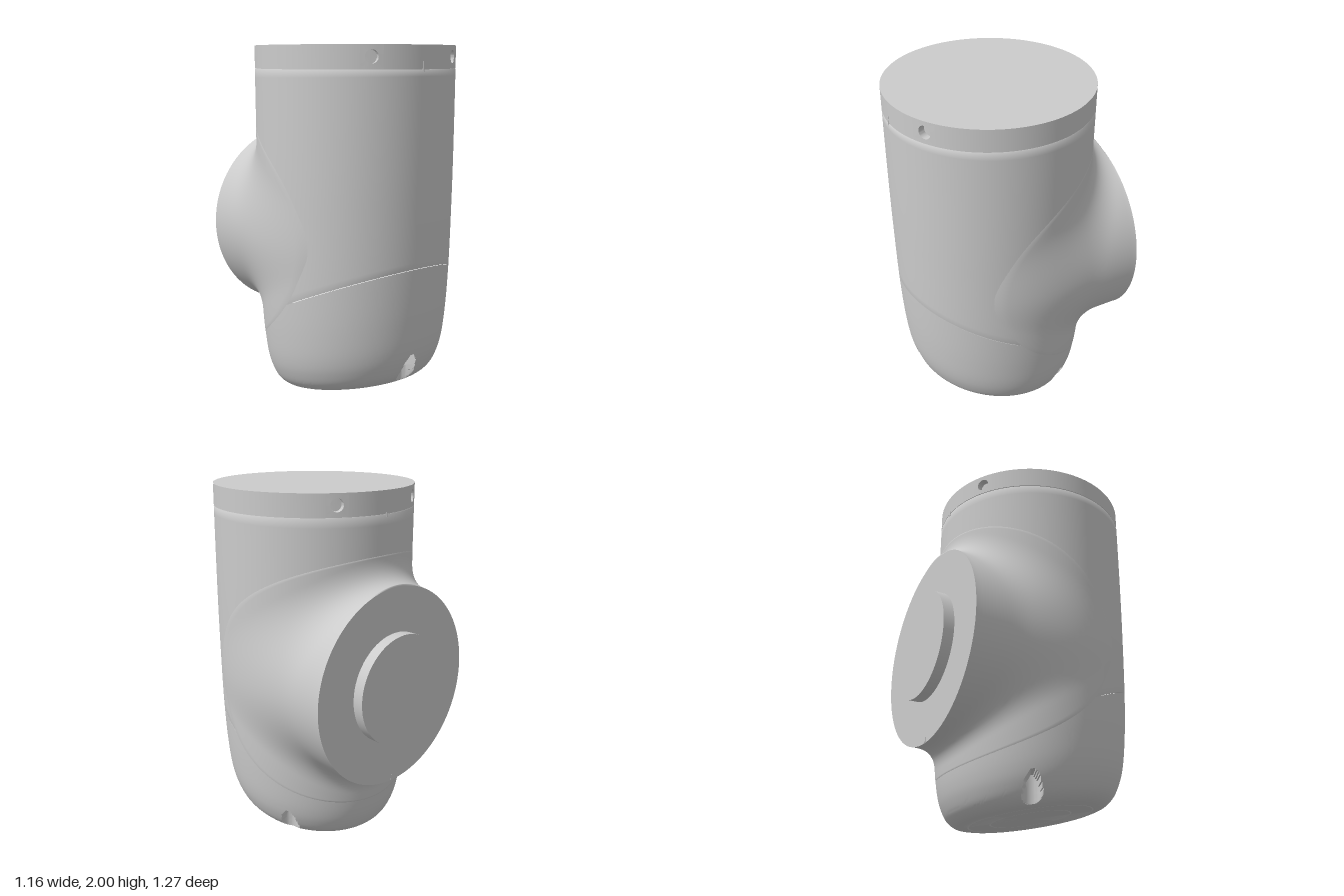
import * as THREE from 'three';
import { toCreasedNormals } from 'three/addons/utils/BufferGeometryUtils.js';

const CZ = 0.073;          // z of the vertical axis
const R = 0.56;            // radius of collar and flange
const FLANGE_Y = 0.95, FLANGE_Z = -0.575;
const BOTTOM = 0.065, TILT = 0.173; // base height on the axis and its slope
const { clamp, lerp, smoothstep, degToRad } = THREE.MathUtils;

const material = new THREE.MeshStandardMaterial({ color: 0xcccccc });

// Radius of the body against height over the tilted base
const profile = new THREE.CatmullRomCurve3([
  [0, 0.375], [0.013, 0.415], [0.05, 0.457], [0.12, 0.492], [0.2, 0.514],
  [0.35, 0.533], [0.6, 0.548], [1, 0.557], [1.3, 0.56], [2.2, 0.56],
].map(([w, r]) => new THREE.Vector3(w, r, 0))).getPoints(90);

function bodyRadius(w) {
  if (w <= 0) return profile[0].y;
  for (let i = 1; i < profile.length; i++) {
    const a = profile[i - 1], b = profile[i];
    if (w <= b.x) return lerp(a.y, b.y, (w - a.x) / (b.x - a.x));
  }
  return R;
}

// Closed loops of vertices joined into a skin; point(row, angle) gives a Vector3
function loft(rows, segments, point) {
  const pos = [], index = [];
  for (let i = 0; i < rows; i++) {
    for (let j = 0; j < segments; j++) {
      pos.push(...point(i, (j / segments) * Math.PI * 2).toArray());
      if (i === rows - 1) continue;
      const a = i * segments + j, b = i * segments + (j + 1) % segments;
      index.push(a, b, b + segments, a, b + segments, a + segments);
    }
  }
  const g = new THREE.BufferGeometry();
  g.setAttribute('position', new THREE.Float32BufferAttribute(pos, 3));
  g.setIndex(index);
  g.computeVertexNormals();
  return g;
}

// Point on the body skin, on a ring tilted by slope
function bodyPoint(theta, y0, slope, inset = 0) {
  let r = R;
  for (let k = 0; k < 6; k++) {
    const z = r * Math.cos(theta);
    r = bodyRadius(y0 + (slope - TILT) * z - BOTTOM);
  }
  r = notched(theta, r) - inset;
  const z = r * Math.cos(theta);
  return new THREE.Vector3(r * Math.sin(theta), y0 + slope * z, CZ + z);
}

// Three round screw pockets cut upward into the rounded lower edge
function notched(theta, r) {
  const third = (Math.PI * 2) / 3, rc = 0.457, rad = 0.05;
  const d = theta - Math.round(theta / third) * third;
  const h = rad * rad - (rc * Math.sin(d)) ** 2;
  if (h <= 0) return r;
  const enter = rc * Math.cos(d) - Math.sqrt(h), exit = rc * Math.cos(d) + Math.sqrt(h);
  return r > enter && r < exit ? enter : r;
}

// Distance field: vertical body smoothly merged with the horizontal joint
function field(p) {
  const dv = Math.hypot(p.x, p.z - CZ) - bodyRadius(p.y - BOTTOM - TILT * (p.z - CZ));
  const rh = 0.558 - 0.5 * Math.max(0, p.z + 0.25) ** 2;
  const dh = Math.hypot(p.x, p.y - FLANGE_Y) - rh;
  const k = lerp(0.1, 0.15, smoothstep(p.y, 0.5, 0.95));
  const h = Math.max(k - Math.abs(dv - dh), 0) / k;
  return Math.min(dv, dh) - h * h * k / 4;
}

function projectToField(p, offset) {
  const e = 0.002, g = new THREE.Vector3();
  for (let n = 0; n < 8; n++) {
    const f = field(p);
    for (const axis of ['x', 'y', 'z']) {
      const q = p.clone();
      q[axis] += e;
      g[axis] = (field(q) - f) / e;
    }
    p.addScaledVector(g, -(f - offset) / Math.max(g.lengthSq(), 0.2));
  }
  p.z = Math.max(p.z, FLANGE_Z);
  return p;
}

// Skin from the round flange rim out onto the body
function neckGeometry() {
  const rows = 28;
  return loft(rows, 160, (i, phi) => {
    const c = Math.cos(phi), s = Math.sin(phi);
    const rim = new THREE.Vector3(R * c, FLANGE_Y + R * s, FLANGE_Z);
    if (i === 0) return rim;
    const u = degToRad(115) * c;
    const land = new THREE.Vector3(R * Math.sin(u), FLANGE_Y + 0.72 * s, CZ - R * Math.cos(u));
    const t = (i / (rows - 1)) ** 1.2;
    return projectToField(rim.lerp(land, t), i === rows - 1 ? -0.004 : 0.001);
  });
}

// Lower cap: grooved tilted base, rounded edge and wall up to the sloping seam
function endCapGeometry() {
  const base = [0, 0.216, 0.22, 0.224, 0.336, 0.34, 0.344];
  const wall = 44;
  return toCreasedNormals(loft(base.length + wall + 1, 360, (i, theta) => {
    if (i < base.length) {
      const r = base[i], z = r * Math.cos(theta);
      const groove = i === 2 || i === 5 ? 0.004 : 0;
      return new THREE.Vector3(r * Math.sin(theta), BOTTOM + groove + TILT * z, CZ + z);
    }
    const n = Math.min(i - base.length, wall - 1);
    const w = 0.509 * (n / (wall - 1)) ** 1.6;
    const slope = TILT + 0.283 * smoothstep(w, 0.2, 0.509);
    return bodyPoint(theta, BOTTOM + w, slope, i === base.length + wall ? 0.006 : 0);
  }), 0.7);
}

// Upper shell from the sloping seam to the collar
function shellGeometry() {
  const rows = 32;
  return loft(rows, 128, (i, theta) => {
    const t = clamp((i - 1) / (rows - 3), 0, 1);
    const inset = i === 0 ? 0.006 : i === rows - 1 ? 0.02 : 0;
    return bodyPoint(theta, lerp(0.577, 1.876, t), 0.456 * (1 - t), inset);
  });
}

// Square patch of the collar with a blind screw hole
function screwHoleGeometry(angle) {
  const rings = [[0.06, 0], [0.035, 0], [0.035, 0.04], [0, 0.04]];
  return toCreasedNormals(loft(4, 32, (i, phi) => {
    const c = Math.cos(phi), s = Math.sin(phi);
    const k = rings[i][0] / (i === 0 ? Math.max(Math.abs(c), Math.abs(s)) : 1);
    const th = angle + (k * c) / R, r = R - rings[i][1];
    return new THREE.Vector3(r * Math.sin(th), 1.94 + k * s, CZ + r * Math.cos(th));
  }), 0.7);
}

export function createModel() {
  const model = new THREE.Group();
  model.name = 'jointHousing';
  const add = (name, geometry, x = 0, y = 0, z = 0, parent = model) => {
    const mesh = new THREE.Mesh(geometry, material);
    mesh.name = name;
    mesh.position.set(x, y, z);
    parent.add(mesh);
    return mesh;
  };

  add('upperShell', shellGeometry());
  add('endCap', endCapGeometry());
  add('flangeNeck', neckGeometry());

  // Flange face with raised centre boss and index mark
  add('flangeFace', new THREE.CircleGeometry(R, 160), 0, FLANGE_Y, FLANGE_Z).rotation.y = Math.PI;
  add('flangeBoss', new THREE.CylinderGeometry(0.31, 0.31, 0.062, 64), 0, FLANGE_Y, FLANGE_Z - 0.031)
    .rotation.x = Math.PI / 2;
  add('flangeMark', new THREE.BoxGeometry(0.012, 0.03, 0.006), 0, 0.407, FLANGE_Z);

  // Collar ring: screw hole patches with plain arcs between them
  const collar = new THREE.Group();
  collar.name = 'collar';
  model.add(collar);
  const half = 0.06 / R;
  const angles = [30, 150, 210, 330].map(degToRad);
  angles.forEach((a, i) => {
    const next = i < 3 ? angles[i + 1] : angles[0] + Math.PI * 2;
    add('screwHole', screwHoleGeometry(a), 0, 0, 0, collar);
    add('collarWall', new THREE.CylinderGeometry(R, R, 0.12, 40, 1, true, a + half, next - a - 2 * half),
      0, 1.94, CZ, collar);
  });
  add('collarTop', new THREE.CircleGeometry(R, 128), 0, 2, CZ, collar).rotation.x = -Math.PI / 2;
  add('collarUnderside', new THREE.CircleGeometry(R, 128), 0, 1.88, CZ, collar).rotation.x = Math.PI / 2;
  add('collarGroove', new THREE.CylinderGeometry(0.55, 0.55, 0.03, 96), 0, 1.875, CZ, collar);

  // Alignment marks across the collar joint, front and back
  for (const side of [1, -1]) {
    add('alignmentMark', new THREE.BoxGeometry(0.008, 0.055, 0.006), 0, 1.89, CZ + side * (R - 0.001), collar);
  }
  return model;
}
